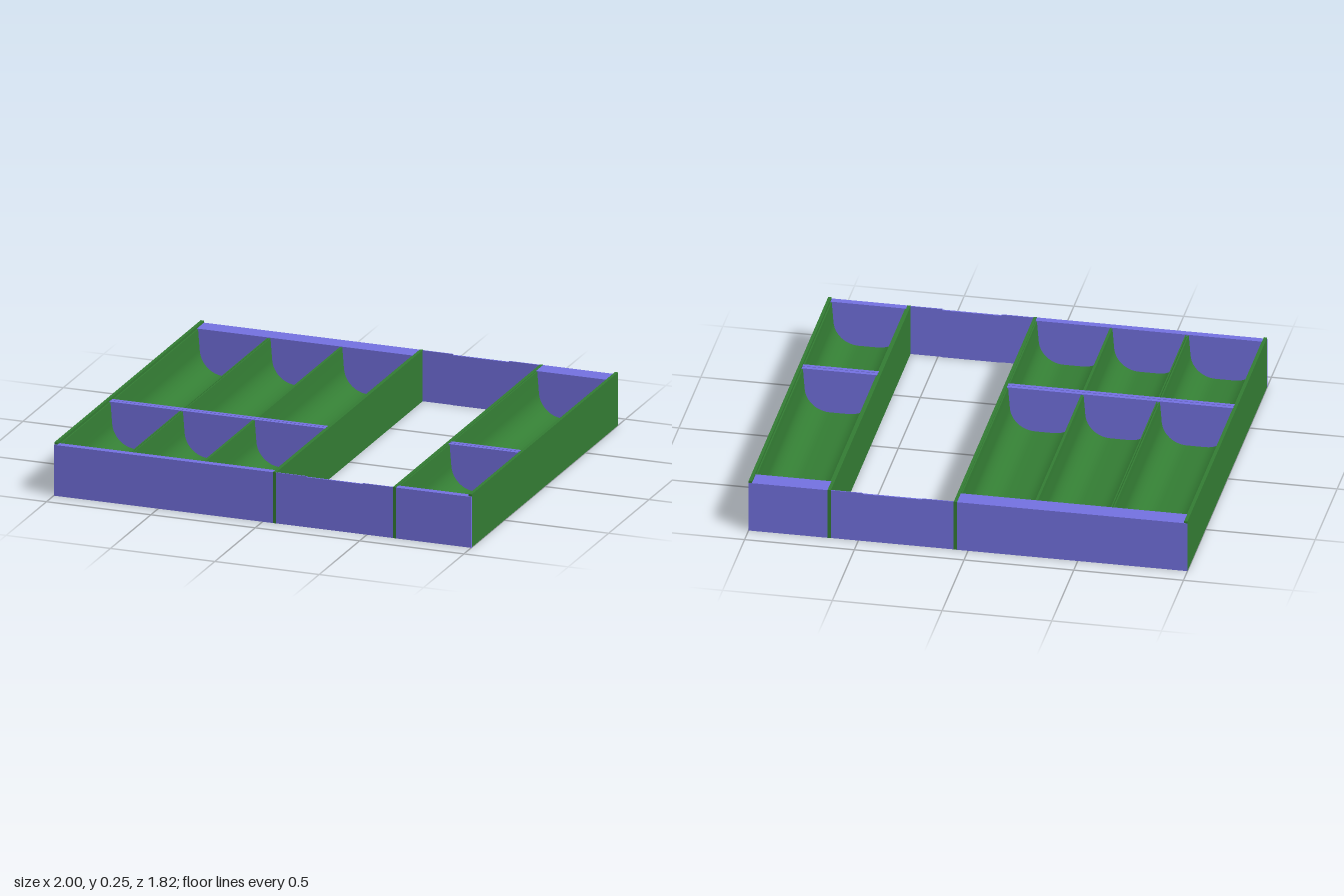
import * as THREE from 'three';
import { toCreasedNormals } from 'three/addons/utils/BufferGeometryUtils.js';

const WALL_TOP = 0.25, PANEL_TOP = 0.24, BACK = -0.91, FRONT = 0.91;

export function createModel() {
  const green = new THREE.MeshStandardMaterial({ color: 0x347e34 });
  green.name = 'green';
  const blue = new THREE.MeshStandardMaterial({ color: 0x7573e4 });
  blue.name = 'blue';

  const model = new THREE.Group();
  model.name = 'drawerTray';

  const add = (name, geometry, material) => {
    const mesh = new THREE.Mesh(geometry, material);
    mesh.name = name;
    model.add(mesh);
    return mesh;
  };

  // Box given by its limits on each axis
  const box = (name, material, x0, x1, y0, y1, z0, z1) => {
    const mesh = add(name, new THREE.BoxGeometry(x1 - x0, y1 - y0, z1 - z0), material);
    mesh.position.set((x0 + x1) / 2, (y0 + y1) / 2, (z0 + z1) / 2);
  };

  // Half-open U with drafted walls and wide rounded lower corners, left to right
  const uProfile = (halfWidth, bottom, top, radius, draft = 0.08) => {
    const rise = (top - bottom - radius + radius * Math.sin(draft)) / Math.cos(draft);
    const cx = halfWidth - radius * Math.cos(draft) - rise * Math.sin(draft);
    const right = [];
    for (let i = 0; i <= 12; i++) {
      const a = -Math.PI / 2 + (i / 12) * (Math.PI / 2 - draft);
      right.push(new THREE.Vector2(cx + radius * Math.cos(a), bottom + radius + radius * Math.sin(a)));
    }
    right.push(new THREE.Vector2(halfWidth, top));
    const left = right.map((p) => new THREE.Vector2(-p.x, p.y)).reverse();
    return [...left, ...right];
  };

  // Thin-walled trough running front to back
  const trough = (x0, x1) => {
    const half = (x1 - x0) / 2, t = 0.006, bottom = 0.025, top = 0.237;
    const outline = [
      ...uProfile(half, bottom, top, 0.121),
      ...uProfile(half - t, bottom + t, top, 0.115).reverse(),
    ];
    const raw = new THREE.ExtrudeGeometry(new THREE.Shape(outline), { depth: 1.73, bevelEnabled: false });
    const mesh = add('trough', toCreasedNormals(raw, 0.5), green);
    mesh.position.set((x0 + x1) / 2, 0, -0.84);
  };

  // Troughs
  for (const [x0, x1] of [[-0.985, -0.642], [-0.638, -0.294], [-0.294, 0.05], [0.64, 0.985]]) {
    trough(x0, x1);
  }

  // Cross panels for the wide and the narrow bay
  for (const [inner0, inner1, outer0, outer1] of [[-0.985, 0.05, -1, 0.05], [0.64, 0.985, 0.64, 1]]) {
    box('backBlock', blue, inner0, inner1, 0, PANEL_TOP, BACK + 0.003, -0.822);
    box('backFace', blue, outer0, outer1, 0, PANEL_TOP, BACK, BACK + 0.006);
    // Divider made of two plates with a fine joint between them
    box('dividerPlate', blue, inner0, inner1, 0.028, PANEL_TOP, 0.222, 0.241);
    box('dividerPlate', blue, inner0, inner1, 0.028, PANEL_TOP, 0.244, 0.262);
    box('frontPanel', blue, inner0, inner1, 0.001, PANEL_TOP, 0.878, 0.905);
    box('frontFace', blue, outer0, outer1, 0, PANEL_TOP, 0.903, FRONT);
  }

  // Side walls: outer pair and the pair beside the open bay
  box('outerWall', green, -1, -0.985, 0, WALL_TOP, BACK + 0.001, 0.903);
  box('outerWall', green, 0.985, 1, 0, WALL_TOP, BACK + 0.001, 0.903);
  box('innerWall', green, 0.05, 0.065, 0, PANEL_TOP + 0.001, BACK, FRONT);
  box('innerWall', green, 0.625, 0.64, 0, PANEL_TOP + 0.001, BACK, FRONT);

  // Thin jointed strips closing the open bay at both ends
  for (const s of [-1, 1]) {
    for (const [x0, x1, top, t] of [[0.065, 0.21, 0.24, 0.005], [0.21, 0.48, 0.236, 0.008], [0.48, 0.625, 0.24, 0.005]]) {
      const outer = s * 0.909, inner = s * (0.909 - t);
      box('bayStrip', blue, x0, x1, 0, top, Math.min(outer, inner), Math.max(outer, inner));
    }
  }

  return model;
}
